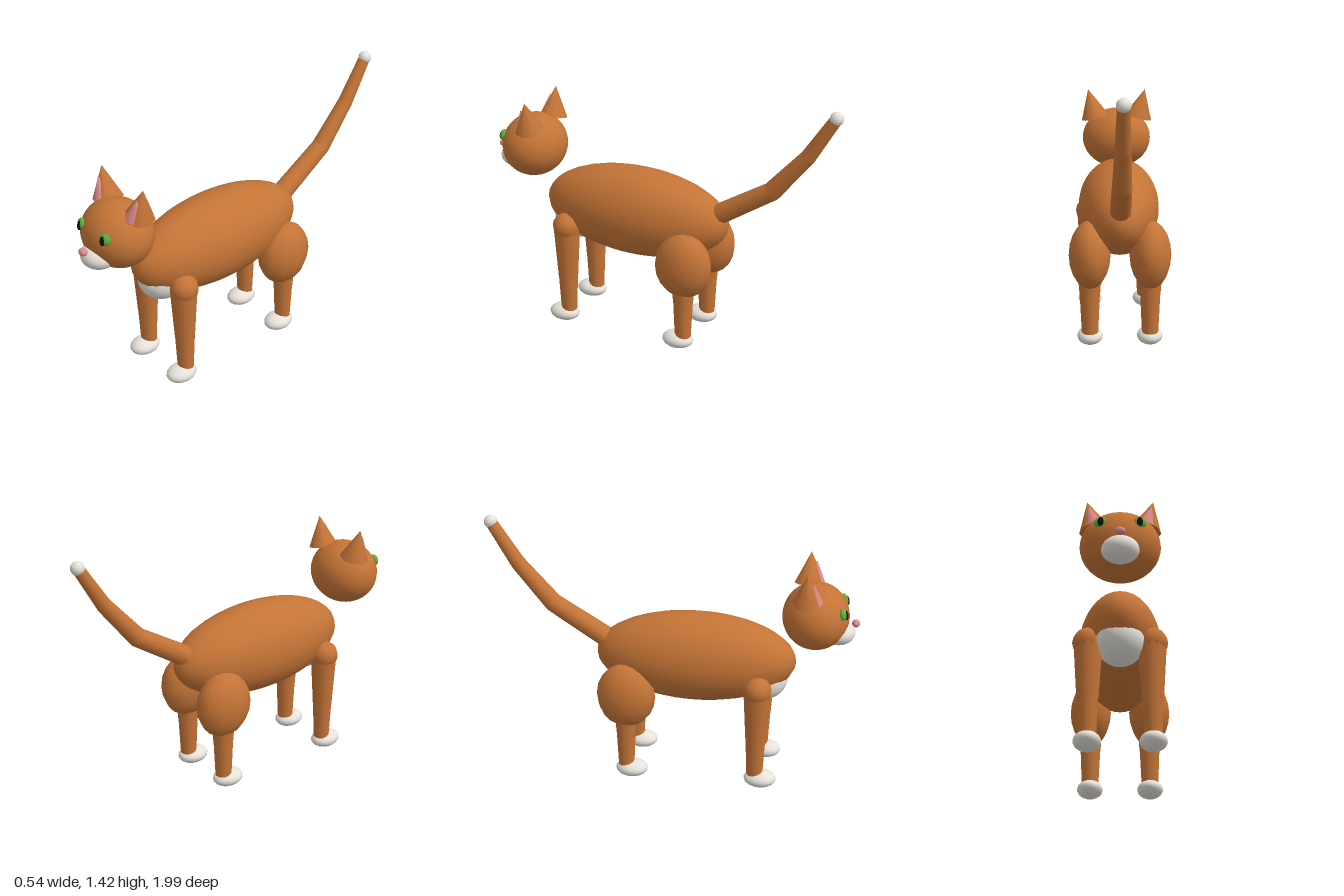
import * as THREE from 'three';

const material = (name, color) => {
  const m = new THREE.MeshStandardMaterial({ color });
  m.name = name;
  return m;
};

export function createModel() {
  const cat = new THREE.Group();
  cat.name = 'cat';
  const fur = material('orange fur', 0xc47436);
  const white = material('white fur', 0xe6e2da);
  const pink = material('pink skin', 0xdb8a8f);
  const green = material('green eye', 0x5fae3a);
  const black = material('black pupil', 0x101010);

  const add = (name, geometry, mat, position) => {
    const mesh = new THREE.Mesh(geometry, mat);
    mesh.name = name;
    mesh.position.set(...position);
    cat.add(mesh);
    return mesh;
  };

  // Ellipsoid with a half size along each axis
  const ellipsoid = (name, mat, position, size, w = 32, h = 20) =>
    add(name, new THREE.SphereGeometry(1, w, h).scale(...size), mat, position);

  // Tapered cylinder from point a to point b
  const limb = (name, a, b, ra, rb, sides = 12) => {
    const from = new THREE.Vector3(...a);
    const dir = new THREE.Vector3(...b).sub(from);
    const mid = from.clone().addScaledVector(dir, 0.5);
    const mesh = add(name, new THREE.CylinderGeometry(rb, ra, dir.length(), sides), fur, mid.toArray());
    mesh.quaternion.setFromUnitVectors(new THREE.Vector3(0, 1, 0), dir.normalize());
  };

  // Ear cone, placed by the centre of its base and leaning outwards
  const ear = (name, mat, side, base, radius, height) => {
    const cone = new THREE.ConeGeometry(radius, height, 8).translate(0, height / 2, 0);
    add(name, cone, mat, base).rotation.z = -0.24 * side;
  };

  // Torso and head
  ellipsoid('body', fur, [0, 0.69, 0.14], [0.22, 0.245, 0.54]);
  ellipsoid('chest', white, [0, 0.59, 0.5], [0.125, 0.125, 0.14]);
  ellipsoid('head', fur, [0, 0.97, 0.77], [0.2, 0.175, 0.175]);
  ellipsoid('muzzle', white, [0, 0.887, 0.89], [0.093, 0.066, 0.09]);
  ellipsoid('nose', pink, [0, 0.941, 0.979], [0.026, 0.02, 0.021], 16, 10);

  for (const s of [1, -1]) {
    const side = s > 0 ? 'left' : 'right';

    // Ears and eyes
    ear(side + 'Ear', fur, s, [0.126 * s, 1.096, 0.725], 0.081, 0.17);
    ear(side + 'InnerEar', pink, s, [0.128 * s, 1.1, 0.756], 0.05, 0.12);
    const eye = ellipsoid(side + 'Eye', green, [0.097 * s, 1.03, 0.912], [0.031, 0.031, 0.019], 16, 12);
    const pupil = ellipsoid(side + 'Pupil', black, [0.095 * s, 1.027, 0.925], [0.016, 0.026, 0.012], 16, 12);
    eye.rotation.set(-0.25, 0.3 * s, 0);
    pupil.rotation.set(-0.25, 0.3 * s, 0);

    // Shoulders and thighs
    const x = 0.16 * s;
    ellipsoid(side + 'Shoulder', fur, [0.163 * s, 0.587, 0.49], [0.077, 0.077, 0.077], 10, 8);
    ellipsoid(side + 'Thigh', fur, [x, 0.5, -0.215], [0.11, 0.183, 0.16], 12, 10);

    // Legs and paws
    for (const [end, z, top, r] of [['Front', 0.49, 0.59, 0.073], ['Hind', -0.218, 0.45, 0.066]]) {
      limb(side + end + 'UpperLeg', [x, 0.28, z], [x, top, z], 0.054, r);
      limb(side + end + 'LowerLeg', [x, 0.06, z], [x, 0.28, z], 0.043, 0.053);
      ellipsoid(side + end + 'Paw', white, [x, 0.05, z + 0.03], [0.069, 0.046, 0.088], 16, 12);
    }
  }

  // Tail in three tapering sections with rounded joints
  const path = [[0, 0.763, -0.352], [0, 0.944, -0.636], [0, 1.163, -0.82], [0, 1.388, -0.957]];
  const radii = [0.056, 0.05, 0.04, 0.031];
  for (let i = 0; i < 3; i++) {
    limb('tailSection' + (i + 1), path[i], path[i + 1], radii[i], radii[i + 1]);
    if (i) ellipsoid('tailJoint' + i, fur, path[i], Array(3).fill(radii[i]), 12, 10);
  }
  ellipsoid('tailTip', white, path[3], [0.036, 0.036, 0.036], 12, 10);

  return cat;
}
